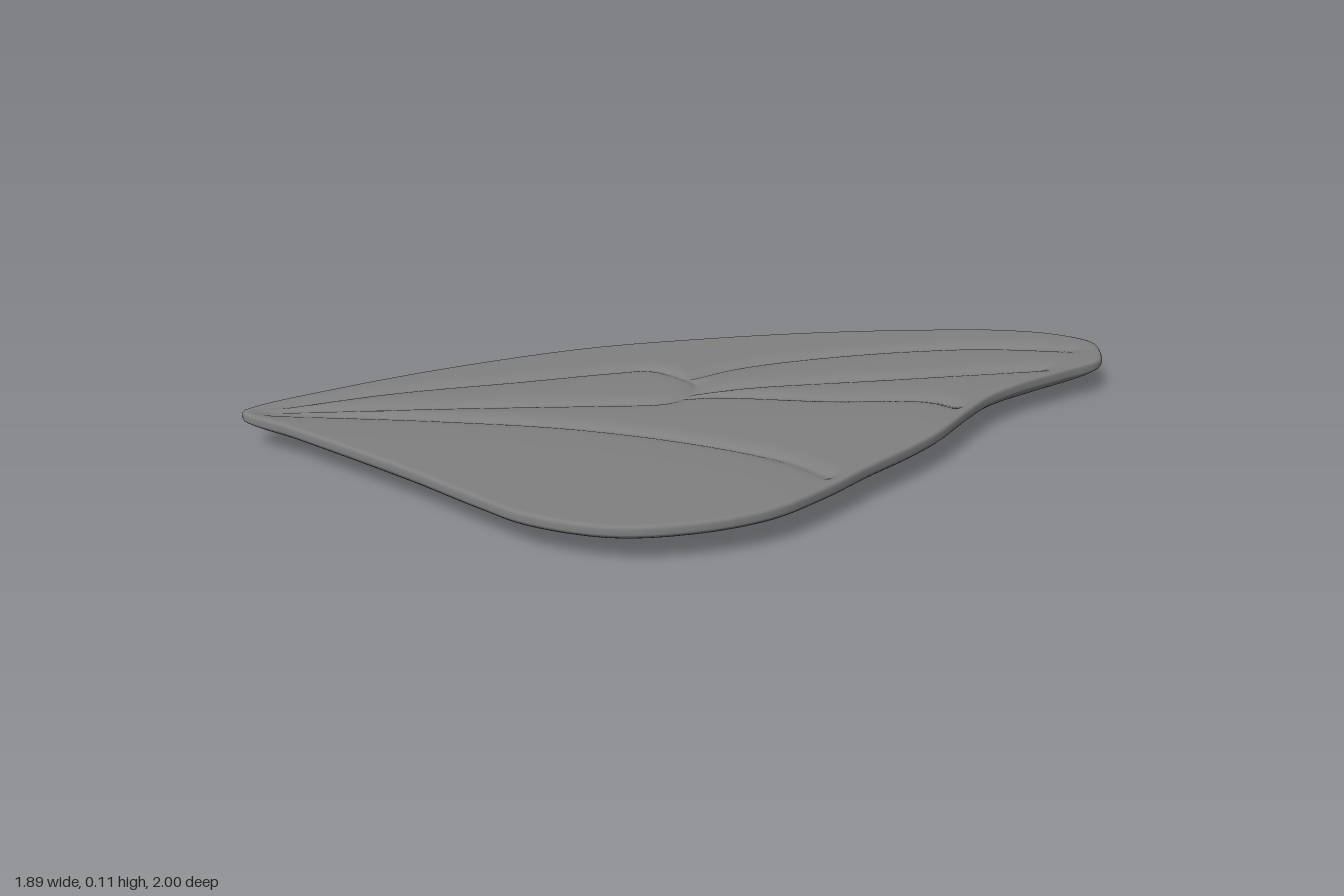
import * as THREE from 'three';

const SEGMENTS = 420, TOP_RINGS = 105, BOTTOM_RINGS = 28;
const CENTRE = [0.1, 0.3];
const TOP_Y = 0.109, VEIN_DEPTH = 0.013, VEIN_WIDTH = 0.02;

const curve = (pairs, closed = false) =>
  new THREE.CatmullRomCurve3(pairs.map(([x, z]) => new THREE.Vector3(x, 0, z)), closed, 'centripetal');

// Wing outline: root, leading edge, tip, outer edge, trailing edge
const outline = curve([
  [-0.945, 0.91], [-0.945, 0.86], [-0.86, 0.65], [-0.71, 0.35], [-0.45, -0.05], [-0.18, -0.34],
  [0.08, -0.58], [0.35, -0.79], [0.58, -0.94], [0.74, -0.998], [0.86, -0.99], [0.92, -0.91],
  [0.943, -0.83], [0.89, -0.69], [0.825, -0.53], [0.785, -0.38], [0.777, -0.25], [0.777, -0.05],
  [0.762, 0.08], [0.725, 0.27], [0.697, 0.45], [0.645, 0.64], [0.53, 0.81], [0.37, 0.94], [0.15, 0.997],
  [-0.02, 0.985], [-0.26, 0.955], [-0.5, 0.935], [-0.75, 0.92],
], true);

// Veins: looped cell from the root, three outer branches, one hind vein
const veins = [
  [[-0.93, 0.88], [-0.71, 0.56], [-0.45, 0.27], [-0.26, 0.055], [-0.18, -0.02], [-0.08, -0.02], [0.01, 0.01],
    [0.035, 0.1], [0.01, 0.18], [-0.13, 0.29], [-0.5, 0.56], [-0.93, 0.89]],
  [[-0.04, -0.02], [0.03, -0.18], [0.24, -0.45], [0.56, -0.74], [0.87, -0.91]],
  [[0.035, 0.08], [0.135, -0.05], [0.45, -0.34], [0.82, -0.68]],
  [[0.035, 0.12], [0.11, 0.055], [0.4, -0.1], [0.64, -0.25], [0.74, -0.25]],
  [[-0.93, 0.9], [-0.45, 0.64], [-0.08, 0.47], [0.29, 0.37], [0.53, 0.35], [0.66, 0.38]],
].map((pairs) => curve(pairs).getSpacedPoints(70));

// Depth of the crease left by the nearest vein
function veinCrease(x, z) {
  let nearest = Infinity;
  for (const points of veins) {
    for (let i = 0; i < points.length - 1; i++) {
      const a = points[i], b = points[i + 1];
      const dx = b.x - a.x, dz = b.z - a.z;
      const t = THREE.MathUtils.clamp(((x - a.x) * dx + (z - a.z) * dz) / (dx * dx + dz * dz), 0, 1);
      nearest = Math.min(nearest, Math.hypot(x - a.x - t * dx, z - a.z - t * dz));
    }
  }
  return VEIN_DEPTH * Math.exp(-(Math.hypot(nearest, 0.007) - 0.007) / VEIN_WIDTH);
}

// Underside: an elliptical bowl at the middle that follows the outline at the rim
function undersideHeight(x, z, r) {
  const dx = x - CENTRE[0], dz = z - CENTRE[1];
  const along = (0.66 * dx - 0.75 * dz) / 1.35, across = (0.75 * dx + 0.66 * dz) / 0.66;
  const bowl = THREE.MathUtils.lerp(along * along + across * across, r * r, r * r);
  return 0.086 * (1 - Math.pow(Math.max(0, 1 - bowl), 0.56));
}

function wingGeometry() {
  const rim = outline.getSpacedPoints(SEGMENTS).slice(0, SEGMENTS);
  const positions = [], indices = [];

  const addRing = (r, heightAt) => {
    for (const p of rim) {
      const x = CENTRE[0] + (p.x - CENTRE[0]) * r;
      const z = CENTRE[1] + (p.z - CENTRE[1]) * r;
      positions.push(x, heightAt(x, z), z);
    }
  };

  // Upper face with creased veins
  positions.push(CENTRE[0], TOP_Y, CENTRE[1]);
  for (let i = 1; i <= TOP_RINGS; i++) {
    const r = 0.99 * i / TOP_RINGS;
    const fade = 1 - THREE.MathUtils.smoothstep(r, 0.92, 0.99);
    addRing(r, (x, z) => TOP_Y - veinCrease(x, z) * fade);
  }

  // Rounded rim and swollen underside
  addRing(0.997, () => 0.106);
  addRing(1, () => 0.099);
  for (let i = 0; i < BOTTOM_RINGS; i++) {
    const r = Math.cos((i / BOTTOM_RINGS) * Math.PI / 2);
    addRing(r, (x, z) => undersideHeight(x, z, r));
  }
  positions.push(CENTRE[0], 0, CENTRE[1]);

  // Join the rings and close both centres
  const rings = TOP_RINGS + 2 + BOTTOM_RINGS;
  const last = positions.length / 3 - 1;
  for (let j = 0; j < SEGMENTS; j++) {
    const k = (j + 1) % SEGMENTS;
    indices.push(0, 1 + k, 1 + j);
    for (let i = 0; i < rings - 1; i++) {
      const a = 1 + i * SEGMENTS, b = a + SEGMENTS;
      indices.push(a + j, a + k, b + j, a + k, b + k, b + j);
    }
    const end = 1 + (rings - 1) * SEGMENTS;
    indices.push(last, end + j, end + k);
  }

  const geometry = new THREE.BufferGeometry();
  geometry.setAttribute('position', new THREE.Float32BufferAttribute(positions, 3));
  geometry.setIndex(indices);
  geometry.computeVertexNormals();
  return geometry;
}

export function createModel() {
  const group = new THREE.Group();
  group.name = 'insectWing';
  const wing = new THREE.Mesh(wingGeometry(), new THREE.MeshStandardMaterial({ color: 0x808080 }));
  wing.name = 'wing';
  group.add(wing);
  return group;
}
